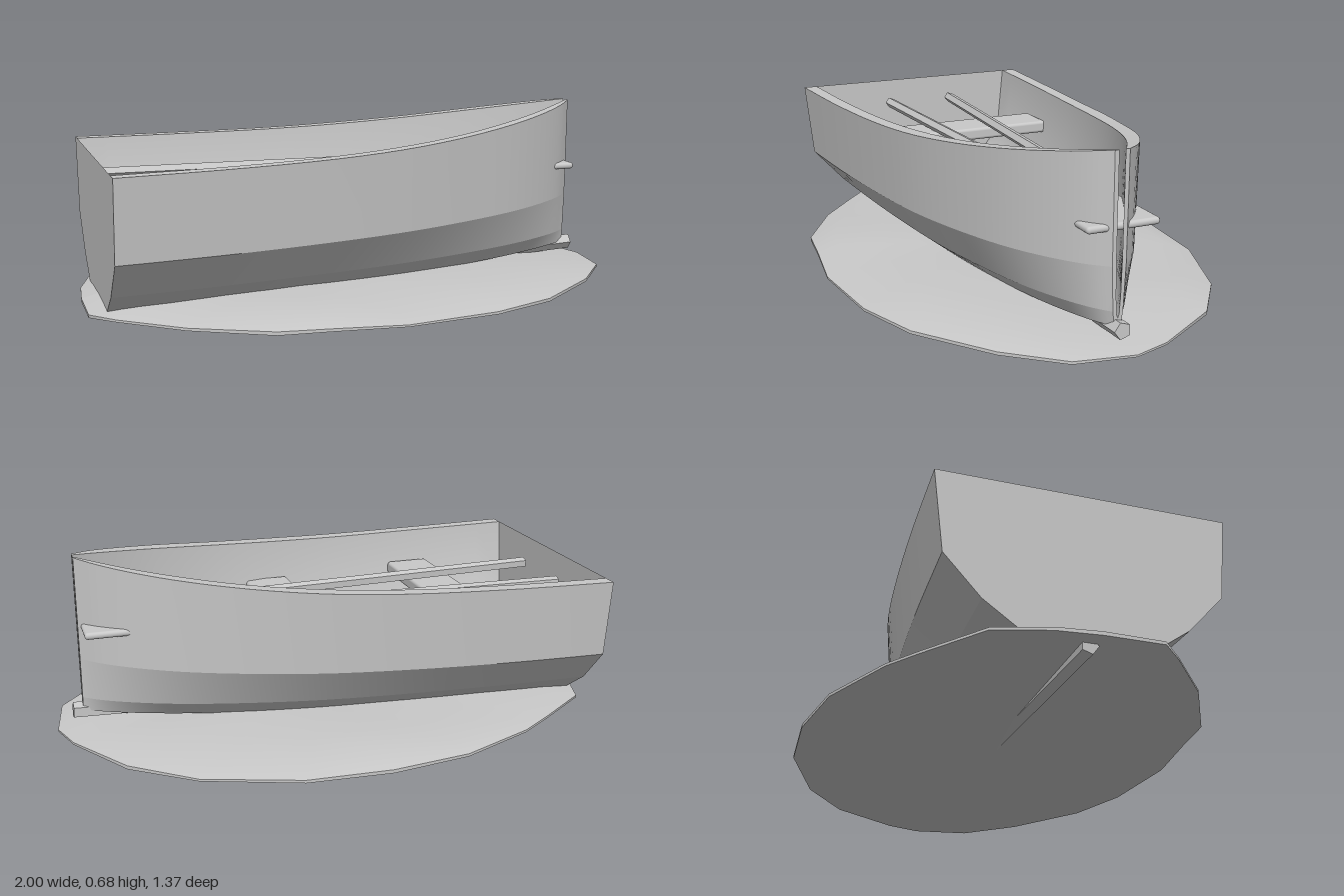
import * as THREE from 'three';
import { RoundedBoxGeometry } from 'three/addons/geometries/RoundedBoxGeometry.js';

const CZ = 0.01; // boat centreline
const V = (x, y, z) => new THREE.Vector3(x, y, z);

// Surface through rows of points, with smooth normals
function loft(rows) {
  const n = rows[0].length, pos = [], index = [];
  rows.forEach(r => r.forEach(p => pos.push(p.x, p.y, p.z)));
  for (let i = 0; i < rows.length - 1; i++) {
    for (let j = 0; j < n - 1; j++) {
      const a = i * n + j, b = a + n;
      index.push(a, b, a + 1, b, b + 1, a + 1);
    }
  }
  const g = new THREE.BufferGeometry();
  g.setAttribute('position', new THREE.Float32BufferAttribute(pos, 3));
  g.setIndex(index);
  g.computeVertexNormals();
  return g;
}

// Lengthwise lines of one skin: sheer first, then each level [width ratio, y at stern, y at bow]
function hullLines(sheer, levels, side) {
  const pts = new THREE.CatmullRomCurve3(sheer.map(p => V(...p))).getPoints(28);
  const lines = [pts.map(p => V(p.x, p.y, CZ + side * p.z))];
  for (const [k, y0, y1] of levels) {
    lines.push(pts.map(p => {
      const u = (p.x + 0.94) / 1.845;
      return V(p.x, y0 + (y1 - y0) * u * u, CZ + side * p.z * k);
    }));
  }
  return lines;
}

export function createModel() {
  const model = new THREE.Group();
  const grey = new THREE.MeshStandardMaterial({ color: 0xc8c8c8, side: THREE.DoubleSide });
  grey.name = 'paleGrey';
  const add = (name, geo, parent = model) => {
    const m = new THREE.Mesh(geo, grey);
    m.name = name;
    parent.add(m);
    return m;
  };

  // Hull skins: [x, sheer height, half width]
  const outer = [[-0.94, 0.555, 0.487], [-0.55, 0.558, 0.462], [-0.18, 0.566, 0.425], [0.1, 0.581, 0.383],
    [0.35, 0.603, 0.32], [0.57, 0.63, 0.245], [0.73, 0.653, 0.165], [0.84, 0.671, 0.09], [0.905, 0.682, 0.026]];
  const inner = [[-0.94, 0.555, 0.435], [-0.55, 0.558, 0.411], [-0.18, 0.566, 0.373], [0.1, 0.581, 0.328],
    [0.35, 0.603, 0.268], [0.57, 0.63, 0.19], [0.73, 0.653, 0.115], [0.84, 0.671, 0.052], [0.905, 0.682, 0.011]];
  const outerLevels = [[0.94, 0.27, 0.31], [0.69, 0.135, 0.16], [0.46, 0.055, 0.11], [0, 0.045, 0.1]];
  const innerLevels = [[0.94, 0.29, 0.33], [0.72, 0.17, 0.21], [0.42, 0.12, 0.15], [0, 0.11, 0.135]];

  const hull = new THREE.Group();
  hull.name = 'hull';
  model.add(hull);
  const section = {};
  for (const side of [1, -1]) {
    const out = hullLines(outer, outerLevels, side);
    const inn = hullLines(inner, innerLevels, side);
    // Separate strakes keep the chines crisp
    for (let i = 0; i < out.length - 1; i++) add('outerStrake', loft([out[i], out[i + 1]]), hull);
    add('innerLining', loft(inn), hull);
    add('gunwale', loft([out[0], inn[0]]), hull);
    add('bowEdge', loft([out.map(l => l.at(-1)), inn.map(l => l.at(-1))]), hull);
    section[side] = out.map(l => l[0]);
  }

  // Flat stern board
  const rim = [...section[1], ...section[-1].slice(0, -1).reverse()];
  const transom = add('transom', new THREE.ShapeGeometry(
    new THREE.Shape(rim.map(p => new THREE.Vector2(p.z, p.y)))), hull);
  transom.rotation.y = -Math.PI / 2;
  transom.position.x = -0.94;

  // Five-sided beams
  const beam = (name, a, b, r) => {
    const d = b.clone().sub(a);
    const m = add(name, new THREE.CylinderGeometry(r, r, d.length(), 5).toNonIndexed());
    m.geometry.computeVertexNormals();
    m.position.copy(a).add(b).multiplyScalar(0.5);
    m.quaternion.setFromUnitVectors(V(0, 1, 0), d.normalize());
  };
  beam('keel', V(-0.94, 0.034, CZ), V(0.94, 0.106, CZ), 0.03);
  beam('oar', V(-0.9, 0.465, -0.145), V(0.54, 0.465, -0.085), 0.021);
  beam('oar', V(-0.9, 0.465, 0.13), V(0.54, 0.465, 0.055), 0.021);

  // Seats: [name, x min, x max, z min, z max, y min, y max]
  for (const [name, x0, x1, z0, z1, y0, y1] of [
    ['sternSeat', -0.58, -0.41, -0.385, 0.398, 0.39, 0.438],
    ['middleSeat', 0.045, 0.215, -0.32, 0.33, 0.39, 0.438],
    ['bowSeat', 0.52, 0.895, -0.142, 0.118, 0.42, 0.445]]) {
    const seat = add(name, new RoundedBoxGeometry(x1 - x0, y1 - y0, z1 - z0, 3, 0.012));
    seat.position.set((x0 + x1) / 2, (y0 + y1) / 2, (z0 + z1) / 2);
  }

  // Low irregular mound under the boat
  const edge = [[-1, 0.03], [-1, 0.23], [-0.92, 0.31], [-0.72, 0.48], [-0.46, 0.625], [-0.28, 0.645], [-0.03, 0.68],
    [0.31, 0.65], [0.55, 0.57], [0.81, 0.38], [0.965, 0.2], [1, -0.01], [0.96, -0.14], [0.81, -0.39], [0.6, -0.55],
    [0.27, -0.67], [-0.03, -0.69], [-0.32, -0.65], [-0.6, -0.53], [-0.72, -0.45], [-0.93, -0.3], [-0.985, -0.12]];
  edge.push(edge[0]);
  const ring = (s, y, bump) => edge.map(([x, z]) =>
    V(x * s, y + bump * Math.sin(5 * x + 7 * z), z * s));
  add('moundTop', loft([ring(1, 0.05, 0.003), ring(0.88, 0.072, 0.009), ring(0.65, 0.085, 0.008),
    ring(0.35, 0.085, 0), ring(0, 0.08, 0)]));
  add('moundRim', loft([ring(1, 0.04, 0), ring(1, 0.05, 0.003)]));
  add('moundBase', loft([ring(0, 0.04, 0), ring(1, 0.04, 0)]));

  return model;
}
